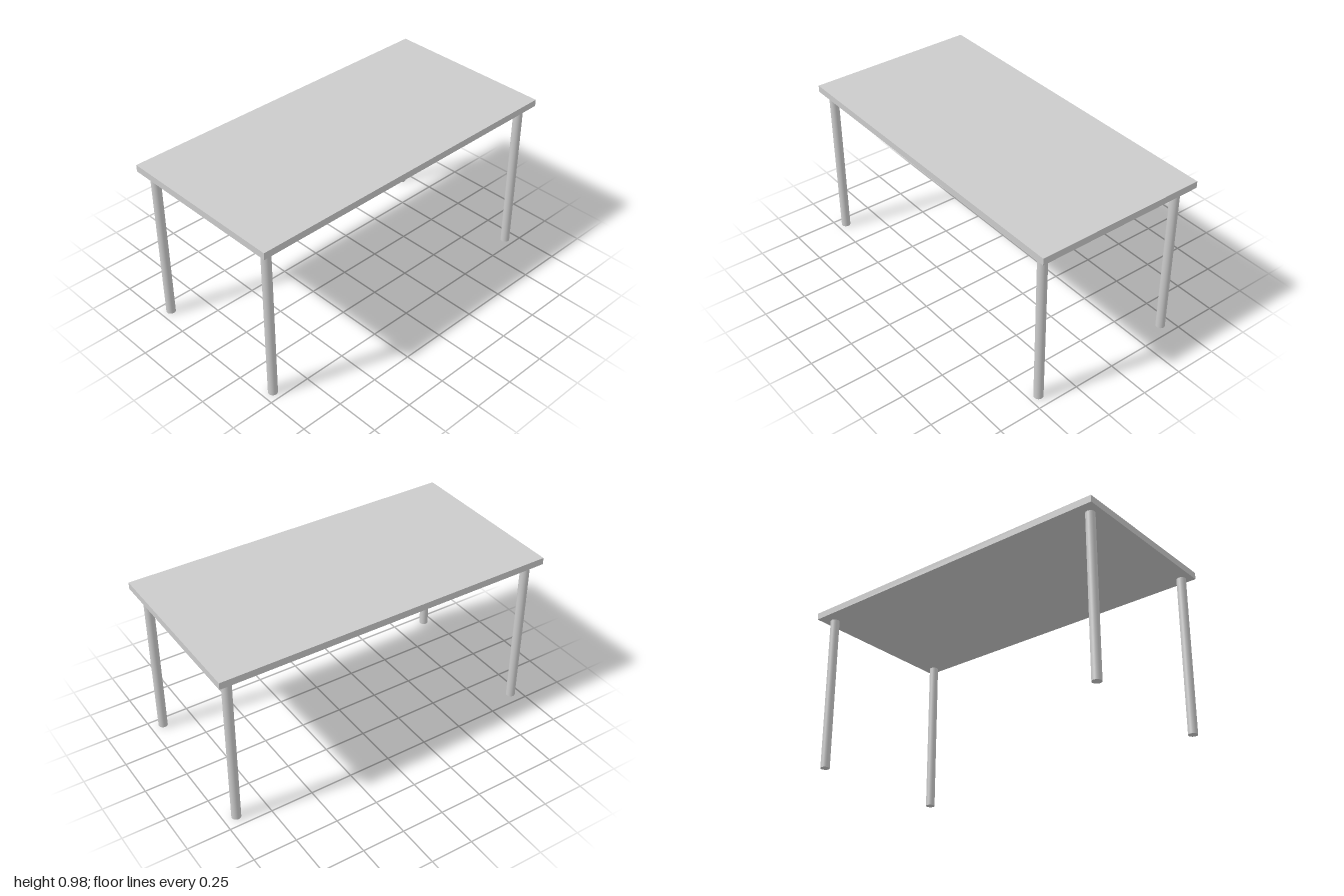
import * as THREE from 'three';

export function createModel() {
  const table = new THREE.Group();
  table.name = 'table';
  const material = new THREE.MeshStandardMaterial({ color: 0xcccccc });

  // Flat rectangular top
  const top = new THREE.Mesh(new THREE.BoxGeometry(2, 0.04, 1.01), material);
  top.name = 'tableTop';
  top.position.y = 0.961;
  table.add(top);

  // Four round legs, set slightly off centre and ending just below the top
  const legHeight = 0.934;
  const legGeometry = new THREE.CylinderGeometry(0.0265, 0.0265, legHeight, 32);
  for (const [side, x] of [['Left', 0.927], ['Right', -0.942]]) {
    for (const [end, z] of [['front', 0.446], ['back', -0.431]]) {
      const leg = new THREE.Mesh(legGeometry, material);
      leg.name = `${end}${side}Leg`;
      leg.position.set(x, legHeight / 2, z);
      table.add(leg);
    }
  }

  return table;
}
